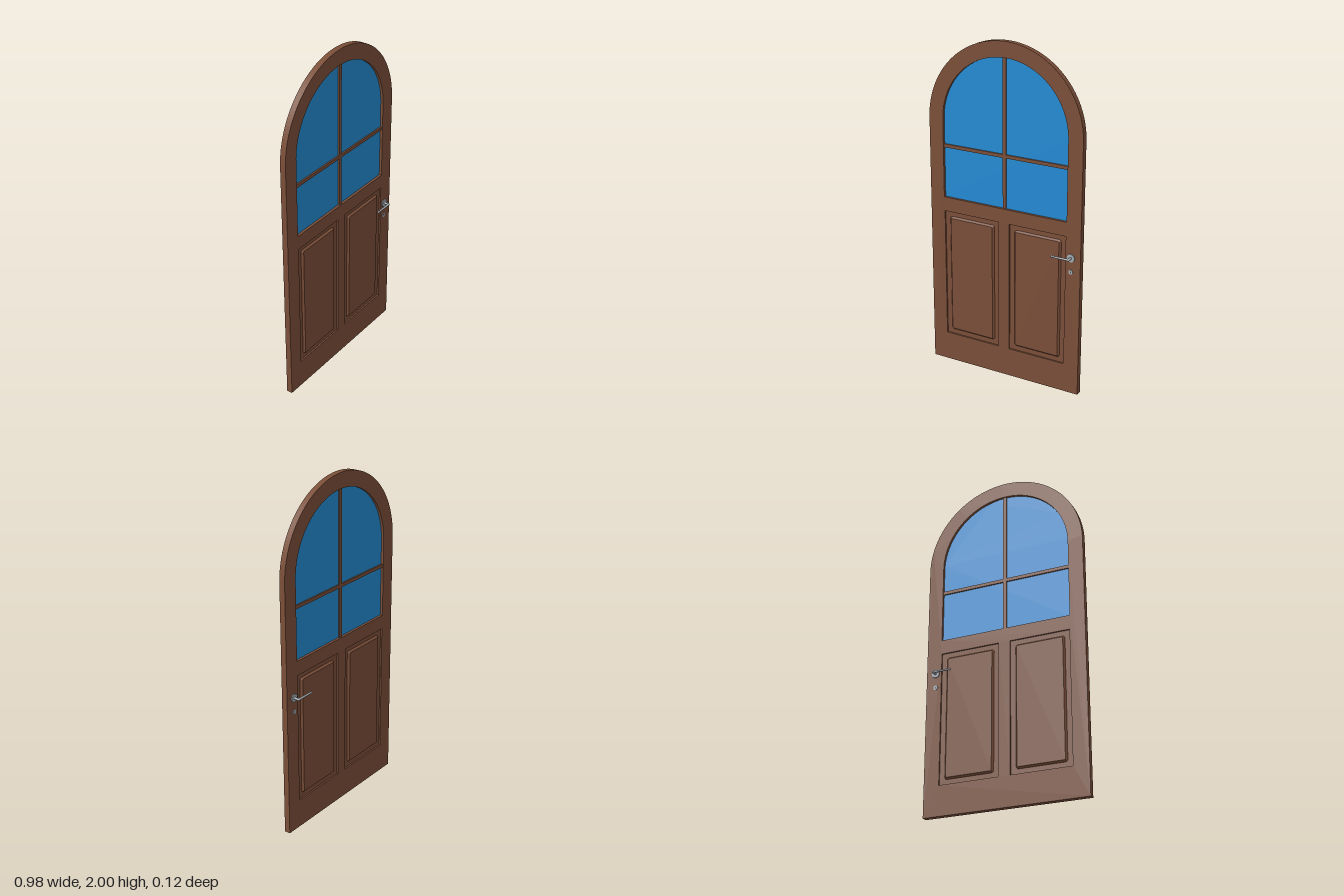
import * as THREE from 'three';

const mat = (name, color) => {
  const m = new THREE.MeshStandardMaterial({ color });
  m.name = name;
  return m;
};

// Outline with straight sides and a semicircular top
function archPath(Type, halfWidth, bottom, spring) {
  const p = new Type();
  p.moveTo(-halfWidth, bottom);
  p.lineTo(halfWidth, bottom);
  p.lineTo(halfWidth, spring);
  p.absarc(0, spring, halfWidth, 0, Math.PI, false);
  p.lineTo(-halfWidth, bottom);
  return p;
}

// Rectangle with slightly clipped round corners
function rectPath(Type, x0, y0, x1, y1, r = 0) {
  const p = new Type();
  p.moveTo(x0 + r, y0);
  p.lineTo(x1 - r, y0);
  if (r) p.quadraticCurveTo(x1, y0, x1, y0 + r);
  p.lineTo(x1, y1 - r);
  if (r) p.quadraticCurveTo(x1, y1, x1 - r, y1);
  p.lineTo(x0 + r, y1);
  if (r) p.quadraticCurveTo(x0, y1, x0, y1 - r);
  p.lineTo(x0, y0 + r);
  if (r) p.quadraticCurveTo(x0, y0, x0 + r, y0);
  return p;
}

// Extrusion centred on z = 0
function slab(shape, depth, options = {}) {
  const g = new THREE.ExtrudeGeometry(shape, { depth, bevelEnabled: false, curveSegments: 40, ...options });
  return g.translate(0, 0, -depth / 2);
}

export function createModel() {
  const wood = mat('brown wood', 0x7a4e38);
  const glass = mat('blue glass', 0x238ad2);
  const metal = mat('grey metal', 0xa3abb0);
  const dark = mat('dark keyhole', 0x2a2a2a);

  const door = new THREE.Group();
  door.name = 'door';
  const add = (parent, name, geometry, material, x = 0, y = 0, z = 0) => {
    const mesh = new THREE.Mesh(geometry, material);
    mesh.name = name;
    mesh.position.set(x, y, z);
    parent.add(mesh);
    return mesh;
  };

  // Frame with the arched window and two panel openings
  const frame = archPath(THREE.Shape, 0.488, 0, 1.512);
  frame.holes.push(archPath(THREE.Path, 0.398, 1.045, 1.512));
  for (const s of [-1, 1]) {
    frame.holes.push(rectPath(THREE.Path, s * 0.215 - 0.18, 0.175, s * 0.215 + 0.18, 0.96));
  }
  add(door, 'doorFrame', slab(frame, 0.035), wood);

  // Window pane and glazing bars
  add(door, 'windowPane', slab(archPath(THREE.Shape, 0.399, 1.044, 1.512), 0.004), glass);
  add(door, 'verticalBar', new THREE.BoxGeometry(0.02, 0.865, 0.022), wood, 0, 1.4775, 0);
  add(door, 'horizontalBar', new THREE.BoxGeometry(0.796, 0.02, 0.022), wood, 0, 1.354, 0);

  // Recessed panels with a raised, bevelled field on both faces
  for (const s of [-1, 1]) {
    const cx = s * 0.215;
    const side = s < 0 ? 'right' : 'left';
    add(door, side + 'PanelRecess', new THREE.BoxGeometry(0.36, 0.785, 0.016), wood, cx, 0.5675, 0);
    const field = rectPath(THREE.Shape, cx - 0.139, 0.214, cx + 0.139, 0.921, 0.006);
    add(door, side + 'PanelField', slab(field, 0.015, {
      bevelEnabled: true, bevelThickness: 0.012, bevelSize: 0.01, bevelSegments: 1, curveSegments: 3,
    }), wood);
  }

  // Lever handle and lock plate, repeated on both faces
  for (const s of [1, -1]) {
    const handle = new THREE.Group();
    handle.name = s > 0 ? 'frontHandle' : 'backHandle';
    handle.position.set(0.43, 0.84, 0);
    door.add(handle);
    const disc = (name, r, z0, z1, material, y = 0, x = 0) => {
      const g = new THREE.CylinderGeometry(r, r, z1 - z0, 24).rotateX(Math.PI / 2);
      add(handle, name, g, material, x, y, s * (z0 + z1) / 2);
    };
    disc('rosette', 0.0235, 0.016, 0.024, metal);
    disc('stem', 0.007, 0.02, 0.052, metal);
    add(handle, 'elbow', new THREE.SphereGeometry(0.007, 16, 12), metal, 0, 0, s * 0.052);
    const grip = new THREE.CylinderGeometry(0.0055, 0.0065, 0.1, 16).rotateZ(Math.PI / 2);
    add(handle, 'lever', grip, metal, -0.051, 0, s * 0.052);
    add(handle, 'leverTip', new THREE.SphereGeometry(0.0075, 16, 12), metal, -0.103, 0, s * 0.052);
    disc('lockPlate', 0.0135, 0.016, 0.0215, metal, -0.085);
    disc('keyhole', 0.003, 0.021, 0.022, dark, -0.083);
    add(handle, 'keySlot', new THREE.BoxGeometry(0.003, 0.009, 0.001), dark, 0, -0.088, s * 0.0215);
  }

  return door;
}
